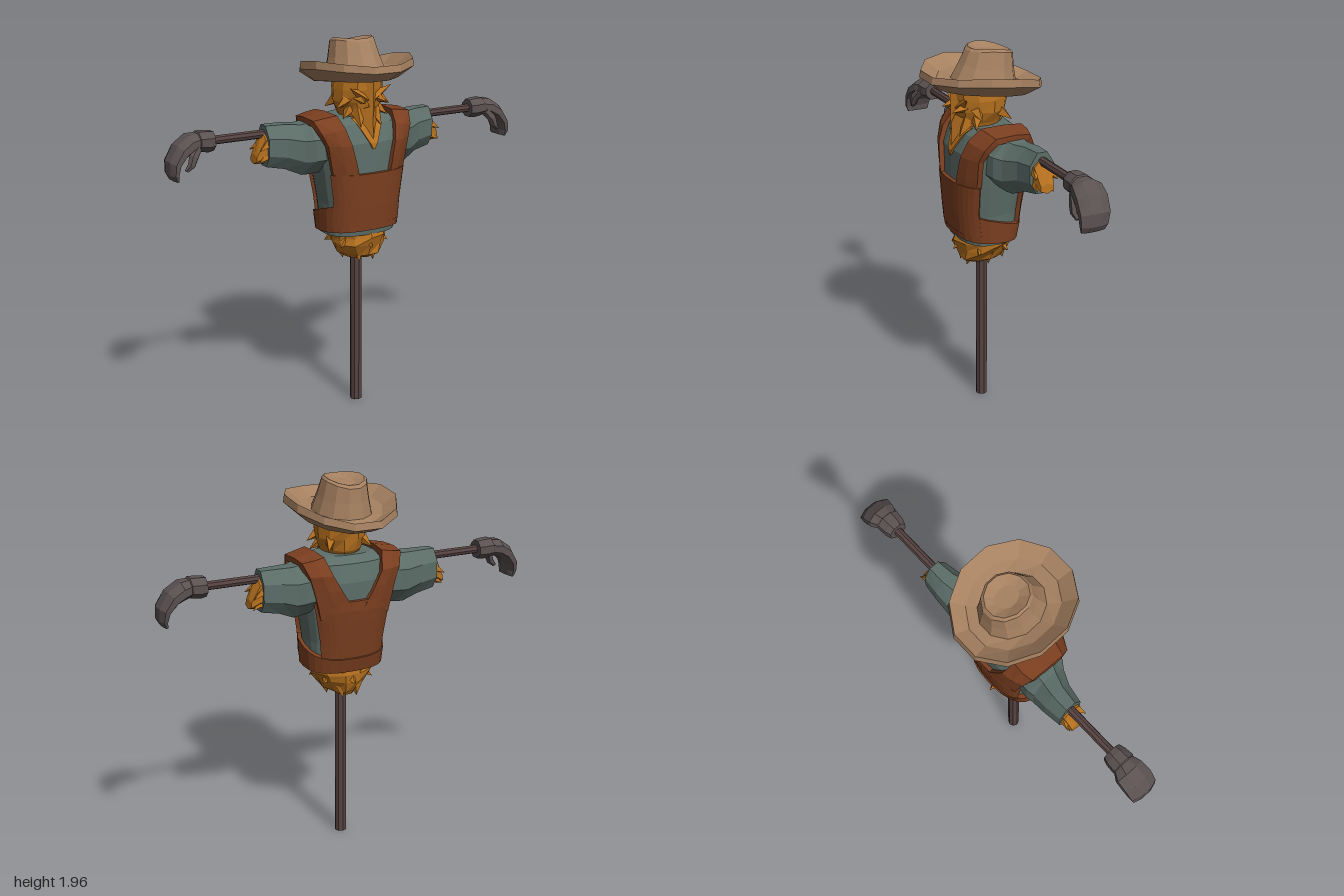
import * as THREE from 'three';

const V = (x, y, z) => new THREE.Vector3(x, y, z);
const paint = (color, side = THREE.FrontSide) =>
  new THREE.MeshStandardMaterial({ color, flatShading: true, side });
const HAY = paint(0xb8721f), SHIRT = paint(0x5c6d68), WOOD = paint(0x564341);
const LEATHER = paint(0x7c3f20, THREE.DoubleSide), GLOVE = paint(0x5b5151), FELT = paint(0xa58060);

let seed = 7;
const rand = () => (seed = (seed * 16807) % 2147483647) / 2147483647 - 0.5;

// Skin rows of points; optional ring closing and end caps
function skin(name, rows, mat, closed = true, caps = closed) {
  const pos = [];
  const tri = (...p) => p.forEach(q => pos.push(q.x, q.y, q.z));
  const n = rows[0].length;
  for (let i = 0; i < rows.length - 1; i++)
    for (let j = 0; j < (closed ? n : n - 1); j++) {
      const k = (j + 1) % n, a = rows[i][j], b = rows[i][k], c = rows[i + 1][k], d = rows[i + 1][j];
      tri(a, b, c); tri(a, c, d);
    }
  if (caps) {
    const first = rows[0], last = rows[rows.length - 1];
    const mid = r => r.reduce((s, p) => s.add(p), V(0, 0, 0)).divideScalar(n);
    const m0 = mid(first), m1 = mid(last);
    for (let j = 0; j < n; j++) {
      const k = (j + 1) % n;
      tri(first[k], first[j], m0); tri(last[j], last[k], m1);
    }
  }
  const g = new THREE.BufferGeometry();
  g.setAttribute('position', new THREE.Float32BufferAttribute(pos, 3));
  g.computeVertexNormals();
  const mesh = new THREE.Mesh(g, mat);
  mesh.name = name;
  return mesh;
}
const loop = (n, f) => Array.from({ length: n }, (_, i) => f(i / n * Math.PI * 2));

// Torso surface: y, half width, front depth, back depth
const TORSO = [[0.97, 0.195, 0.15, 0.135], [1.13, 0.2, 0.165, 0.16], [1.3, 0.225, 0.172, 0.185],
  [1.45, 0.245, 0.165, 0.185], [1.54, 0.23, 0.125, 0.16], [1.575, 0.15, 0.085, 0.12]];
const P = 2.6;
function torsoSize(y) {
  let i = 0;
  while (i < TORSO.length - 2 && y > TORSO[i + 1][0]) i++;
  const A = TORSO[i], B = TORSO[i + 1], f = THREE.MathUtils.clamp((y - A[0]) / (B[0] - A[0]), 0, 1);
  return [1, 2, 3].map(k => A[k] + (B[k] - A[k]) * f);
}
function onTorso(y, t, off = 0) {
  const [hx, zf, zb] = torsoSize(y), s = Math.sin(t), c = Math.cos(t), e = 2 / P;
  return V((hx + off) * Math.sign(s) * Math.abs(s) ** e, y,
    ((c > 0 ? zf : zb) + off) * Math.sign(c) * Math.abs(c) ** e);
}

// Cloth panel lying on the torso, from [y, half width] stations, with turned-in edges
function panel(name, stations, back, off, mat) {
  const ys = [];
  for (let i = 0; i < stations.length - 1; i++)
    for (let k = 0; k < 4; k++) ys.push([0, 1].map(c => THREE.MathUtils.lerp(stations[i][c], stations[i + 1][c], k / 4)));
  ys.push(stations[stations.length - 1]);
  const row = ([y, w], sunk) => {
    const a = Math.asin(Math.min(1, w / torsoSize(y)[0]) ** (P / 2)), pts = [];
    for (let j = -1; j <= 13; j++) {
      const f = THREE.MathUtils.clamp(j, 0, 12) / 6 - 1;
      pts.push(onTorso(y, (back ? Math.PI : 0) + f * a, sunk || j < 0 || j > 12 ? -0.01 : off));
    }
    return pts;
  };
  return skin(name, [row(ys[0], true), ...ys.map(s => row(s)), row(ys[ys.length - 1], true)], mat, false);
}

// Ragged straw bundle from [y, half width, half depth, z] rings
const bundle = (name, rings, n, rough) => skin(name, rings.map(([y, hx, hz, z]) => loop(n, t => {
  const r = 1 + rand() * rough;
  return V(hx * r * Math.sin(t), y + rand() * rough * 0.05, z + hz * r * Math.cos(t));
})), HAY);

function spike(base, tip, r) {
  const d = tip.clone().sub(base), g = new THREE.ConeGeometry(r, d.length(), 4);
  g.translate(0, d.length() / 2, 0);
  const m = new THREE.Mesh(g, HAY);
  m.name = 'strawTuft';
  m.position.copy(base);
  m.quaternion.setFromUnitVectors(V(0, 1, 0), d.normalize());
  return m;
}

// Limb from [x, y, tilt, half height, z, half depth] rings
const limb = (name, rings, n, mat, turn = 0) => skin(name, rings.map(([x, y, a, hy, z, hz]) => loop(n, t => {
  const h = hy * Math.cos(t + turn);
  return V(x - Math.sin(a) * h, y + Math.cos(a) * h, z + hz * Math.sin(t + turn));
})), mat);

function pole(name, r, len) {
  const m = new THREE.Mesh(new THREE.CylinderGeometry(r, r, len, 8), WOOD);
  m.name = name;
  return m;
}

// Sleeve, straw cuff, glove and strap of one side
function buildSide() {
  const g = new THREE.Group();
  g.add(limb('sleeve', [[0.12, 1.43, 0, 0.13, -0.02, 0.14], [0.27, 1.42, 0, 0.14, -0.045, 0.125],
    [0.31, 1.415, 0, 0.138, -0.055, 0.105], [0.39, 1.435, 0, 0.122, -0.075, 0.085],
    [0.485, 1.445, 0, 0.112, -0.08, 0.07]], 8, SHIRT, Math.PI / 8));
  g.add(limb('cuffStraw', [[0.44, 1.445, 0, 0.085, -0.08, 0.055], [0.495, 1.44, 0, 0.085, -0.08, 0.055],
    [0.54, 1.385, 0.1, 0.025, -0.08, 0.04]], 6, HAY));
  for (const [y, z] of [[1.37, -0.03], [1.36, -0.12], [1.42, -0.14], [1.43, -0.02]])
    g.add(spike(V(0.46, y + 0.04, (z - 0.08) / 2), V(0.535, y, z), 0.035));
  const q = Math.PI / 8;
  g.add(limb('gloveCuff', [[0.76, 1.505, 0, 0.05, -0.08, 0.05], [0.79, 1.505, 0, 0.055, -0.08, 0.06],
    [0.84, 1.51, 0, 0.052, -0.08, 0.065], [0.85, 1.505, 0, 0.04, -0.08, 0.05]], 8, GLOVE, q));
  g.add(limb('gloveHand', [[0.83, 1.51, 0, 0.045, -0.08, 0.055], [0.88, 1.505, -0.25, 0.048, -0.085, 0.08],
    [0.93, 1.475, -0.65, 0.042, -0.08, 0.085], [0.97, 1.42, -1.2, 0.032, -0.075, 0.082],
    [0.978, 1.37, -1.6, 0.022, -0.07, 0.075], [0.97, 1.34, -1.7, 0.012, -0.07, 0.065]], 8, GLOVE, q));
  g.add(limb('gloveThumb', [[0.85, 1.49, -0.6, 0.025, -0.04, 0.025], [0.885, 1.45, -0.9, 0.026, -0.02, 0.024],
    [0.9, 1.41, -1.1, 0.02, -0.015, 0.02], [0.925, 1.385, -0.9, 0.01, -0.02, 0.012]], 6, GLOVE));

  // Strap stations: inner x, outer x, y, inner z, outer z
  const path = [[0.085, 0.2, 1.27, 0.185, 0.125], [0.1, 0.215, 1.34, 0.187, 0.128], [0.125, 0.235, 1.45, 0.178, 0.13],
    [0.145, 0.26, 1.53, 0.145, 0.11], [0.16, 0.28, 1.59, 0.085, 0.06], [0.165, 0.28, 1.595, -0.04, -0.05],
    [0.16, 0.275, 1.585, -0.14, -0.13], [0.135, 0.25, 1.5, -0.195, -0.165], [0.09, 0.225, 1.42, -0.203, -0.165],
    [0.04, 0.205, 1.34, -0.205, -0.165], [0.02, 0.19, 1.27, -0.2, -0.16]];
  const sink = p => p.clone().lerp(V(p.x, 1.4, -0.02), 0.18);
  g.add(skin('strap', path.map(([a, b, y, za, zb]) => {
    const i = V(a, y, za), o = V(b, y - (y > 1.5 ? 0.02 : 0), zb);
    return [sink(i), i, i.clone().lerp(o, 0.5).add(V(0, 0, za > 0.1 ? 0.008 : za < -0.1 ? -0.008 : 0)), o, sink(o)];
  }), LEATHER, false));
  return g;
}

export function createModel() {
  const model = new THREE.Group();
  model.name = 'scarecrow';

  // Wooden cross
  const post = pole('post', 0.031, 0.95);
  post.position.y = 0.475;
  const bar = pole('crossbar', 0.022, 1.6);
  bar.rotation.z = Math.PI / 2;
  bar.position.set(0, 1.505, -0.08);
  model.add(post, bar);

  // Shirt and overalls
  model.add(skin('shirtBody', TORSO.map(([y]) => loop(24, t => onTorso(y, t))), SHIRT));
  const band = [[0.985, -0.02], [0.985, 0.018], [1.1, 0.02], [1.1, -0.01]];
  model.add(skin('waistband', band.map(([y, off]) => loop(24, t => {
    const p = onTorso(y, t, off);
    p.y += p.z * (y > 1 ? 0.3 : 0.08);
    return p;
  })), LEATHER, true, false));
  model.add(panel('frontBib', [[1.03, 0.18], [1.15, 0.18], [1.3, 0.2]], false, 0.02, LEATHER));
  model.add(panel('backBib', [[1.0, 0.15], [1.15, 0.165], [1.36, 0.2]], true, 0.02, LEATHER));
  model.add(panel('neckStraw', [[1.42, 0.004], [1.48, 0.035], [1.57, 0.08]], false, 0.012, HAY));
  const left = buildSide(), right = buildSide();
  left.name = 'leftSide';
  right.name = 'rightSide';
  right.scale.x = -1;
  model.add(left, right);

  // Straw below the waist
  model.add(bundle('hipStraw', [[0.82, 0.05, 0.08, 0], [0.85, 0.1, 0.125, 0.01], [0.91, 0.14, 0.145, 0],
    [0.95, 0.155, 0.15, 0], [1.0, 0.16, 0.13, 0]], 11, 0.22));
  for (let i = 0; i < 12; i++) {
    const t = i / 12 * Math.PI * 2, s = Math.sin(t), c = Math.cos(t), low = i % 2;
    model.add(spike(V(s * 0.09, 0.95 - low * 0.04, c * 0.09),
      V(s * (low ? 0.08 : 0.165), low ? 0.815 : 0.9, c * (low ? 0.12 : 0.165)), 0.05));
  }

  // Straw head with brow, nose, beard and cheek tufts
  model.add(bundle('head', [[1.53, 0.08, 0.09, 0.02], [1.59, 0.1, 0.115, 0.01], [1.65, 0.125, 0.13, 0.01],
    [1.71, 0.13, 0.14, 0.01], [1.79, 0.115, 0.145, 0.01]], 11, 0.1));
  model.add(spike(V(0, 1.6, 0.09), V(0, 1.44, 0.17), 0.08), spike(V(0, 1.74, 0.12), V(0, 1.58, 0.17), 0.05));
  for (const s of [-1, 1]) {
    model.add(spike(V(s * 0.02, 1.67, 0.12), V(s * 0.12, 1.73, 0.14), 0.035));
    model.add(spike(V(s * 0.05, 1.68, 0.09), V(s * 0.06, 1.655, 0.19), 0.04));
    model.add(spike(V(s * 0.06, 1.68, 0.07), V(s * 0.155, 1.62, 0.07), 0.045));
    model.add(spike(V(s * 0.06, 1.63, 0.06), V(s * 0.13, 1.57, 0.09), 0.04));
    model.add(spike(V(s * 0.04, 1.62, 0.08), V(s * 0.06, 1.53, 0.15), 0.05));
    model.add(spike(V(s * 0.07, 1.66, -0.04), V(s * 0.12, 1.6, -0.11), 0.045));
  }

  // Hat rings: half width, half depth, z, height, side curl
  const hat = [[0.12, 0.13, 0, 1.74, 0], [0.21, 0.23, 0, 1.735, 0.02], [0.285, 0.312, 0, 1.775, 0.045],
    [0.28, 0.305, 0, 1.81, 0.05], [0.21, 0.23, 0, 1.775, 0.03], [0.15, 0.168, -0.01, 1.785, 0],
    [0.13, 0.142, -0.025, 1.86, 0], [0.112, 0.122, -0.04, 1.93, 0.02], [0.1, 0.108, -0.04, 1.945, 0.015],
    [0.05, 0.06, -0.04, 1.935, 0]];
  model.add(skin('hat', hat.map(([hx, hz, z, h, curl]) => loop(12, a => {
    const t = a + Math.PI / 12, s = Math.sin(t), pz = z + hz * Math.cos(t);
    return V(hx * s, h + pz * 0.13 + curl * s * s, pz);
  })), FELT));
  return model;
}
